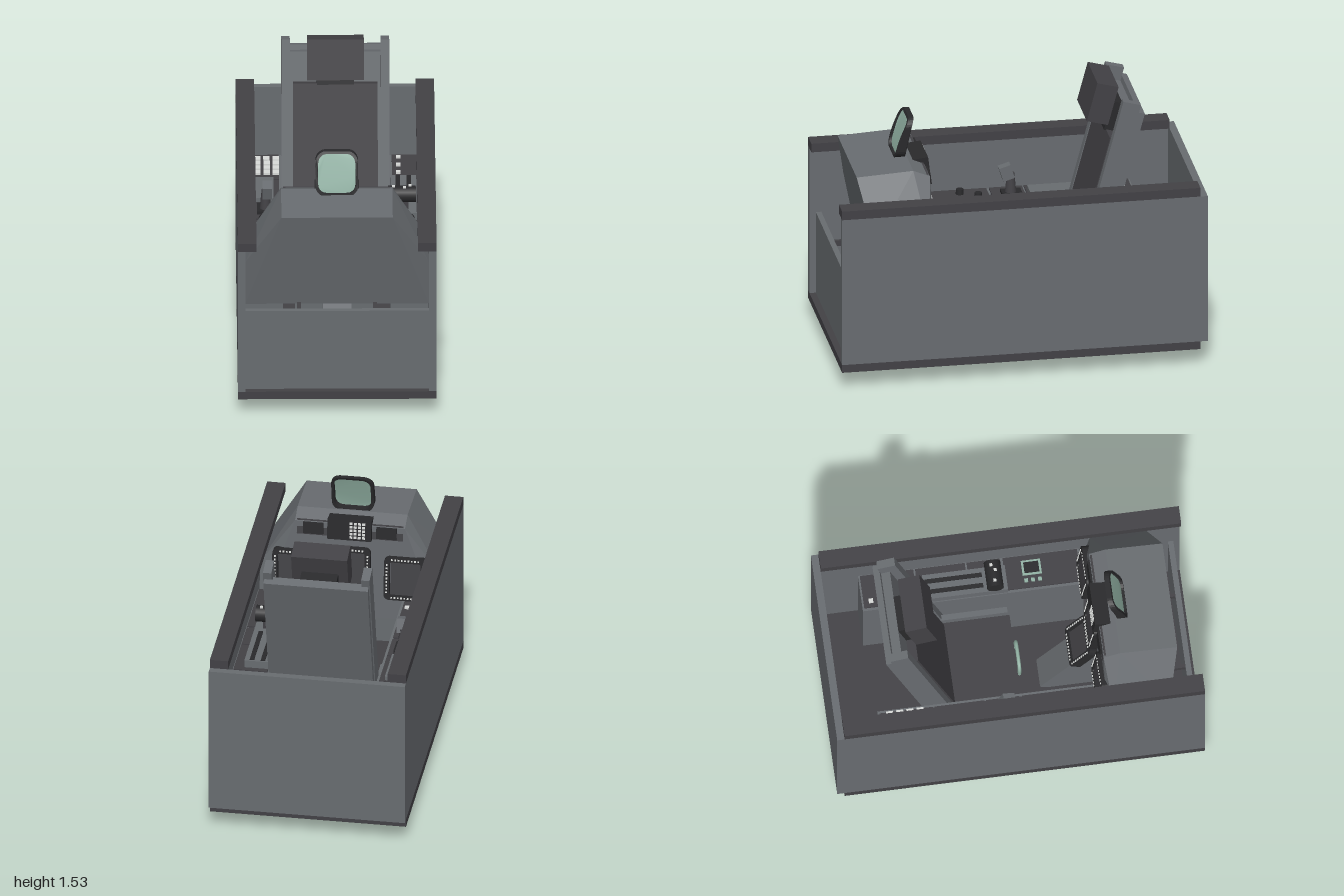
import * as THREE from 'three';
import { mergeGeometries } from 'three/addons/utils/BufferGeometryUtils.js';
import { ConvexGeometry } from 'three/addons/geometries/ConvexGeometry.js';

export function createModel() {
  const model = new THREE.Group();
  const mat = (name, color) => {
    const m = new THREE.MeshStandardMaterial({ color });
    m.name = name;
    return m;
  };
  const grey = mat('panel grey', 0x686c70);
  const dark = mat('dark grey', 0x424145);
  const black = mat('black', 0x29292b);
  const white = mat('white', 0xd8dad8);
  const green = mat('pale green', 0x93b3a5);
  green.side = THREE.DoubleSide;

  const add = (parent, name, geo, material) => {
    const m = new THREE.Mesh(geo, material);
    m.name = name;
    parent.add(m);
    return m;
  };
  // Box given by its limits on each axis
  const box = (parent, name, x0, x1, y0, y1, z0, z1, material) => {
    const g = new THREE.BoxGeometry(x1 - x0, y1 - y0, z1 - z0);
    g.translate((x0 + x1) / 2, (y0 + y1) / 2, (z0 + z1) / 2);
    return add(parent, name, g, material);
  };
  // Many equal small boxes as one mesh
  const dots = (parent, name, points, size, material) => add(parent, name,
    mergeGeometries(points.map((p) => new THREE.BoxGeometry(...size).translate(...p))), material);
  const roundRect = (w, h, r) => {
    const s = new THREE.Shape();
    s.absarc(w / 2 - r, h / 2 - r, r, 0, Math.PI / 2);
    s.absarc(r - w / 2, h / 2 - r, r, Math.PI / 2, Math.PI);
    s.absarc(r - w / 2, r - h / 2, r, Math.PI, Math.PI * 1.5);
    s.absarc(w / 2 - r, r - h / 2, r, Math.PI * 1.5, Math.PI * 2);
    s.closePath();
    return s;
  };
  const group = (name) => {
    const g = new THREE.Group();
    g.name = name;
    model.add(g);
    return g;
  };

  // Tub
  const tub = group('tub');
  box(tub, 'floor', -0.535, 0.535, 0.095, 0.14, -0.96, 1, dark);
  box(tub, 'backWall', -0.535, 0.535, 0.14, 0.985, -1, -0.96, grey);
  box(tub, 'frontWall', -0.495, 0.495, 0.14, 0.61, 0.935, 0.965, grey);
  for (const s of [-1, 1]) {
    const a = s > 0 ? [0.495, 0.535] : [-0.535, -0.495];
    const b = s > 0 ? [0.435, 0.535] : [-0.535, -0.435];
    box(tub, 'sideWall', ...a, 0.14, 0.985, -0.96, 1, grey);
    box(tub, 'sideRail', ...b, 0.985, 1.035, -0.96, 1, dark);
    box(tub, 'frontPeg', s * 0.205 - 0.01, s * 0.205 + 0.01, 0.53, 0.56, 0.72, 0.935, dark);
  }

  // Cowl over the instruments
  const cowlPoints = [];
  for (const s of [-1, 1]) {
    for (const [x, y, z] of [[0.3, 1.1, 0.87], [0.3, 1.13, 0.88], [0.495, 0.83, 0.815], [0.495, 0.55, 0.76],
      [0.3, 1.147, 0.57], [0.3, 1.11, 0.48], [0.495, 0.82, 0.51], [0.495, 0.55, 0.47]]) {
      cowlPoints.push(new THREE.Vector3(s * x, y, z));
    }
  }
  const panel = group('instrumentPanel');
  add(panel, 'cowl', new ConvexGeometry(cowlPoints), grey);

  // Tilted pedestal reaching through the floor
  const pedestal = box(panel, 'pedestal', -0.078, 0.078, -0.275, 0.275, -0.16, 0.16, grey);
  pedestal.position.set(0, 0.318, 0.442);
  pedestal.rotation.x = 0.535;

  // Displays facing the seat
  const facingSeat = (name, x, y, z, tilt) => {
    const g = group(name);
    g.position.set(x, y, z);
    g.rotation.set(-tilt, Math.PI, 0, 'YXZ');
    return g;
  };
  const display = (x, y, z, tilt, w = 0.23, h = 0.25) => {
    const g = facingSeat('display', x, y, z, tilt);
    const bezel = roundRect(w, h, 0.03);
    bezel.holes.push(roundRect(w - 0.06, h - 0.06, 0.012));
    add(g, 'bezel', new THREE.ExtrudeGeometry(bezel, { depth: 0.05, bevelEnabled: false, curveSegments: 4 }), black);
    box(g, 'screen', 0.035 - w / 2, w / 2 - 0.035 + 0.01, 0.025 - h / 2, h / 2 - 0.025, 0, 0.042, dark);
    const keys = [];
    for (let i = -4; i <= 4; i++) {
      for (const s of [-1, 1]) {
        keys.push([i * 0.018, s * (h / 2 - 0.015), 0.051], [s * (w / 2 - 0.015), i * 0.02, 0.051]);
      }
    }
    dots(g, 'bezelKeys', keys, [0.009, 0.009, 0.006], white);
  };
  for (const x of [-0.305, 0, 0.305]) display(x, x ? 0.81 : 0.85, 0.49, 0.12);
  display(0, 0.57, 0.42, 0.535, 0.23, 0.22);

  // Upper control panel with keypad
  const upper = facingSeat('upperControls', 0, 1.08, 0.5, 0.12);
  box(upper, 'controlBar', -0.29, 0.29, -0.05, 0.035, -0.02, 0.02, dark);
  box(upper, 'keypadBox', -0.12, 0.12, -0.055, 0.06, -0.04, 0.05, black);
  for (const s of [-1, 1]) box(upper, 'sideDial', s * 0.2 - 0.055, s * 0.2 + 0.055, -0.04, 0.025, 0.02, 0.035, black);
  const keypad = [];
  for (let i = 0; i < 4; i++) for (let j = 0; j < 5; j++) keypad.push([0.01 + i * 0.023, -0.036 + j * 0.02, 0.051]);
  dots(upper, 'keypadKeys', keypad, [0.016, 0.013, 0.006], white);

  // Curved head-up glass: leans back toward the seat as it rises
  const hud = group('headUpGlass');
  const bend = (g) => {
    const p = g.attributes.position;
    for (let i = 0; i < p.count; i++) {
      const t = (p.getY(i) + 0.115) / 0.23;
      p.setZ(i, 0.625 - 0.03 * t - 0.045 * t * t + p.getZ(i) * (1 - 0.55 * t));
    }
    g.translate(0, 1.252, 0);
    g.computeVertexNormals();
    return g;
  };
  const spaced = (w, h, r) => roundRect(w, h, r).getSpacedPoints(64);
  const frame = new THREE.Shape(spaced(0.23, 0.23, 0.055));
  frame.holes.push(new THREE.Path(spaced(0.2, 0.204, 0.045)));
  add(hud, 'glassFrame', bend(new THREE.ExtrudeGeometry(frame, { depth: 0.06, bevelEnabled: false }).translate(0, 0, -0.045)), black);
  add(hud, 'glass', bend(new THREE.ShapeGeometry(new THREE.Shape(spaced(0.202, 0.206, 0.045)))), green);

  // Seat: leaning back part
  const seat = group('seat');
  const back = new THREE.Group();
  back.name = 'seatBack';
  back.position.set(0, 1.03, -0.475);
  back.rotation.x = -Math.PI / 12;
  seat.add(back);
  box(back, 'backPlate', -0.285, 0.285, -0.72, 0.4, -0.125, -0.09, grey);
  box(back, 'backFiller', -0.245, 0.245, -0.65, 0.37, -0.09, -0.04, grey);
  box(back, 'backCushion', -0.228, 0.228, -0.58, 0.205, -0.04, 0.01, dark);
  box(back, 'headrestMount', -0.1, 0.1, 0.2, 0.37, -0.04, 0.02, black);
  box(back, 'headrest', -0.153, 0.153, 0.25, 0.475, 0.02, 0.14, dark);
  for (const s of [-1, 1]) box(back, 'seatRail', s * 0.268 - 0.023, s * 0.268 + 0.023, -0.75, 0.447, -0.09, 0.01, grey);
  // Seat pan, sides and pull handle
  box(seat, 'seatBase', -0.22, 0.22, 0.14, 0.4, -0.42, 0.02, grey);
  box(seat, 'seatCushion', -0.238, 0.238, 0.4, 0.48, -0.42, 0.04, dark);
  for (const s of [-1, 1]) box(seat, 'seatSide', s * 0.255 - 0.016, s * 0.255 + 0.016, 0.3, 0.52, -0.42, 0.03, grey);
  const loop = new THREE.CatmullRomCurve3([[-0.075, 0.4], [-0.08, 0.48], [-0.06, 0.51], [0.06, 0.51], [0.08, 0.48], [0.075, 0.4]]
    .map(([x, y]) => new THREE.Vector3(x, y, 0.052)));
  add(seat, 'pullHandle', new THREE.TubeGeometry(loop, 32, 0.01, 8), green);

  // Side consoles
  const top = 0.68;
  const consoles = group('sideConsoles');
  for (const s of [-1, 1]) {
    const span = (a, b) => (s > 0 ? [a, b] : [-b, -a]);
    box(consoles, 'consoleBody', ...span(0.29, 0.495), 0.14, top, -0.75, 0.45, grey);
    for (const [z0, z1] of [[-0.74, -0.45], [-0.44, -0.17], [-0.16, 0.02], [0.035, 0.44]]) {
      box(consoles, 'consolePanel', ...span(0.305, 0.49), top, top + 0.008, z0, z1, dark);
    }
  }
  const y = top + 0.012;
  const grid = [];
  for (let i = 0; i < 3; i++) for (let j = 0; j < 4; j++) grid.push([-0.42 + i * 0.05, y, -0.685 + j * 0.055]);
  dots(consoles, 'switchGrid', grid, [0.035, 0.012, 0.038], white);
  dots(consoles, 'consoleLights', [-0.42, -0.38, -0.33].map((x) => [x, y, 0.36])
    .concat([-0.7, -0.61, -0.52].map((z) => [0.34, y, z])), [0.024, 0.012, 0.024], white);
  box(consoles, 'armRest', -0.44, -0.335, top, 0.71, -0.43, -0.18, grey);
  for (const [x, z] of [[-0.365, 0.1], [-0.43, 0.19]]) {
    add(consoles, 'knob', new THREE.CylinderGeometry(0.02, 0.022, 0.03, 16), black).position.set(x, y + 0.01, z);
  }
  // Data screen and keys on the left console
  box(consoles, 'dataScreen', 0.375, 0.46, top, 0.692, 0.13, 0.235, green);
  box(consoles, 'dataScreenFace', 0.387, 0.448, 0.692, 0.696, 0.142, 0.223, black);
  dots(consoles, 'dataKeys', [0.145, 0.182, 0.22].map((z) => [0.345, y, z]), [0.02, 0.012, 0.02], green);

  // Side stick
  const stick = group('sideStick');
  box(stick, 'stickBase', -0.425, -0.335, top, 0.705, -0.14, -0.03, black);
  const shaft = add(stick, 'stickShaft', new THREE.CylinderGeometry(0.02, 0.032, 0.12, 12), dark);
  shaft.position.set(-0.38, 0.755, -0.08);
  const grip = box(stick, 'stickGrip', -0.025, 0.025, -0.03, 0.05, -0.03, 0.035, grey);
  grip.position.set(-0.37, 0.815, -0.06);
  grip.rotation.x = 0.3;

  // Throttle quadrant and grip
  const throttle = group('throttle');
  box(throttle, 'throttleBox', 0.295, 0.435, top, 0.73, -0.41, 0.04, grey);
  for (const x of [0.335, 0.395]) box(throttle, 'throttleSlot', x - 0.012, x + 0.012, 0.73, 0.735, -0.4, -0.09, black);
  box(throttle, 'throttleArm', 0.34, 0.39, 0.73, 0.8, -0.05, -0.01, dark);
  const handle = add(throttle, 'throttleGrip', new THREE.CylinderGeometry(0.045, 0.045, 0.15, 20), black);
  handle.rotation.z = Math.PI / 2;
  handle.position.set(0.355, 0.81, -0.03);
  dots(throttle, 'throttleButtons', [[0.31, 0.855, -0.03], [0.37, 0.855, -0.02], [0.4, 0.855, -0.04]], [0.016, 0.008, 0.016], white);

  return model;
}
